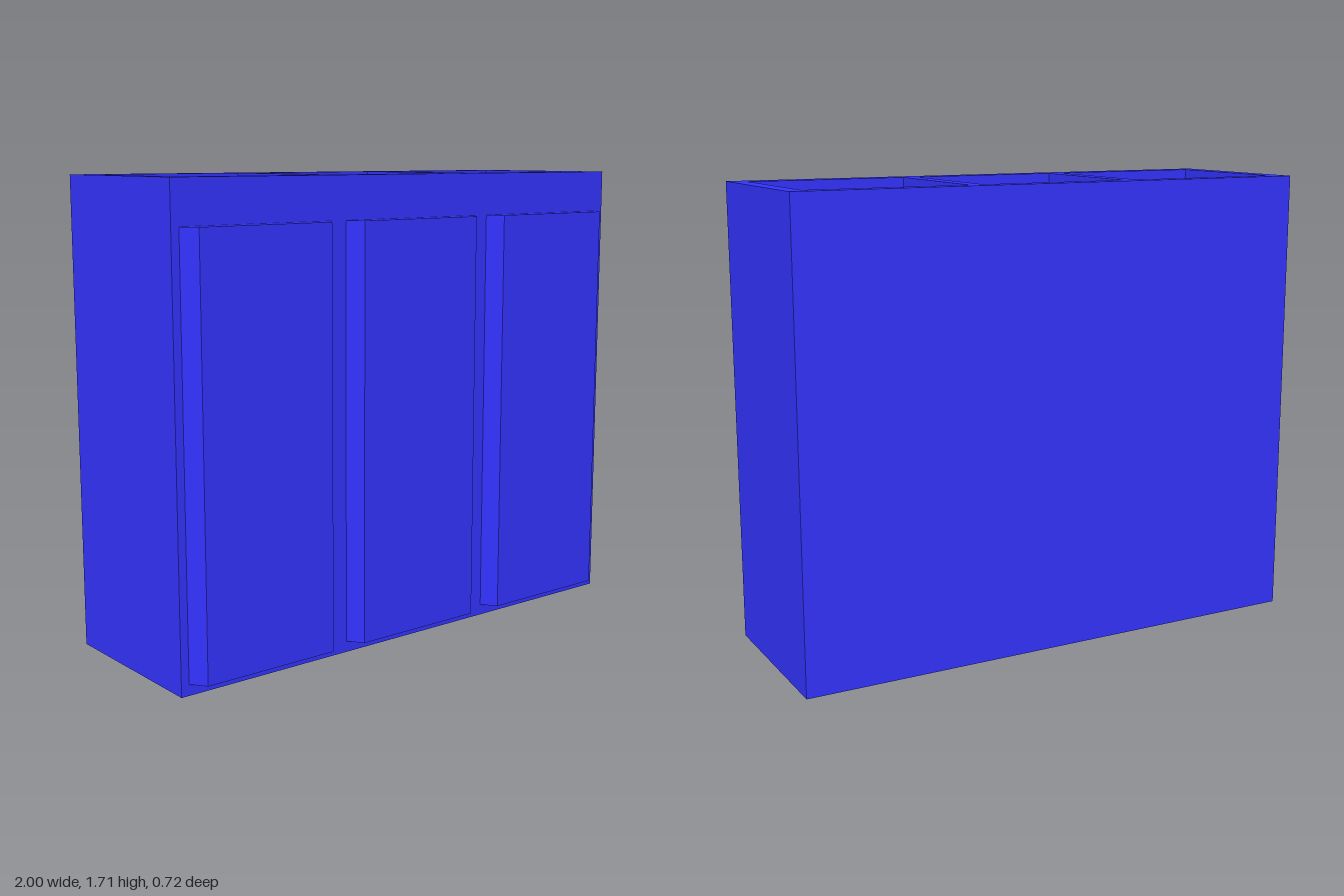
import * as THREE from 'three';

const material = new THREE.MeshStandardMaterial({ color: 0x3333ff, flatShading: true });

const HEIGHT = 1.71, BACK = -0.36, FRONT = 0.305;
const FLOOR = 1.54; // floor of the vent recesses

// Closed outline from [x, z] points, wound for extruding upwards
function outline(points, Type = THREE.Shape) {
  return new Type(points.map(([x, z]) => new THREE.Vector2(x, -z)));
}

function rect(x0, x1, z0, z1, Type) {
  return outline([[x0, z1], [x1, z1], [x1, z0], [x0, z0]], Type);
}

// Extrude a plan outline between two heights
function upright(name, shape, y0, y1) {
  const geometry = new THREE.ExtrudeGeometry(shape, { depth: y1 - y0, bevelEnabled: false });
  geometry.rotateX(-Math.PI / 2).translate(0, y0, 0);
  const mesh = new THREE.Mesh(geometry, material);
  mesh.name = name;
  return mesh;
}

export function createModel() {
  const model = new THREE.Group();
  model.name = 'cabinet';

  // Solid lower body and the rim with three vent openings
  model.add(upright('body', rect(-1, 1, BACK, FRONT), 0, FLOOR));
  const openings = [[-0.94, -0.34], [-0.285, 0.285], [0.34, 0.94]];
  const z0 = -0.3, z1 = 0.24;
  const rim = rect(-1, 1, BACK, FRONT);
  for (const [a, b] of openings) rim.holes.push(rect(a, b, z0, z1, THREE.Path));
  model.add(upright('topRim', rim, FLOOR, HEIGHT));

  // Seven tilted louvre slats in each opening
  const count = 7, pitch = (z1 - z0) / count;
  for (const [a, b] of openings) {
    const vent = new THREE.Group();
    vent.name = 'vent';
    const geometry = new THREE.BoxGeometry(b - a, 0.012, 0.1);
    for (let i = 0; i < count; i++) {
      const slat = new THREE.Mesh(geometry, material);
      slat.name = 'slat';
      slat.position.set((a + b) / 2, 1.62, z0 + pitch * (i + 0.5));
      slat.rotation.x = 0.84;
      vent.add(slat);
    }
    model.add(vent);
  }

  // Front door panels with slanted sides
  for (const x of [-0.667, 0, 0.667]) {
    const panel = outline([[x - 0.263, 0.36], [x + 0.263, 0.36], [x + 0.303, FRONT], [x - 0.303, FRONT]]);
    model.add(upright('frontPanel', panel, 0.04, 1.555));
  }
  return model;
}
